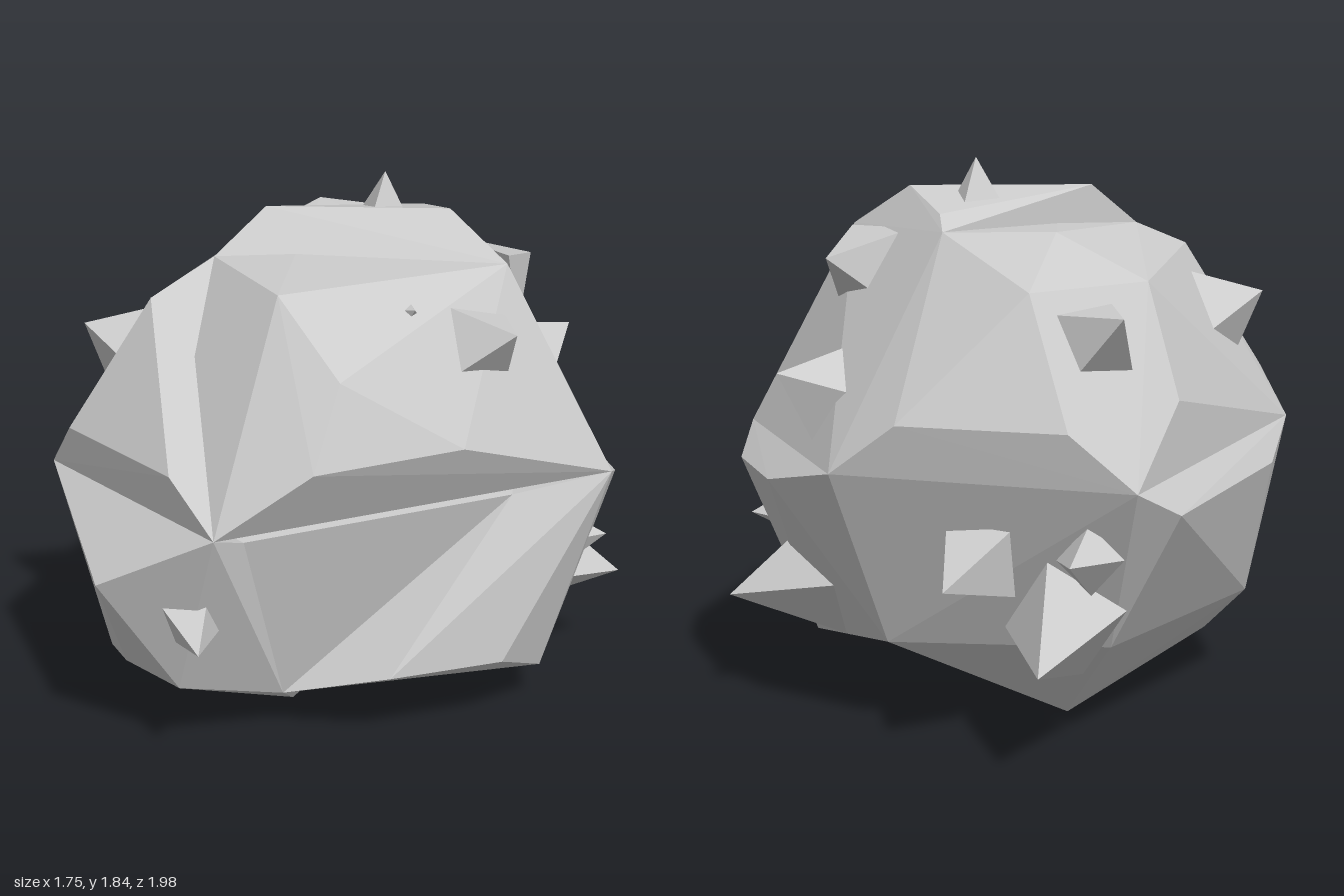
import * as THREE from 'three';
import { ConvexGeometry } from 'three/addons/geometries/ConvexGeometry.js';

const material = new THREE.MeshStandardMaterial({ color: 0xcccccc, flatShading: true });

// Corners shared by the rock's blocks
const P = {
  // crown
  crownL: [-0.36, 1.6, 0.28], crownF: [0.035, 1.6, 0.51], crownR: [0.51, 1.6, -0.145],
  ridgeL: [-0.27, 1.74, 0.1], ridgeR: [0.27, 1.74, -0.19], ridgeB: [0.05, 1.67, -0.4],
  crownB: [0, 1.62, -0.48], peakL: [-0.365, 1.63, -0.4],
  shoulderL: [-0.62, 1.47, -0.25], shoulderB: [-0.4, 1.47, -0.68],
  // upper flanks
  cheekTop: [0.3, 1.375, 0.57], cheekF: [0.3, 1.12, 0.73], cheekR: [0.6, 1.12, 0.3],
  bumpTop: [-0.45, 1.51, 0.52], bumpL: [-0.67, 1.07, 0.7], bumpR: [-0.15, 1.07, 0.87],
  sideL: [-0.79, 1.12, -0.4], backL: [-0.6, 1.07, -0.83], back: [-0.06, 1.07, -0.93],
  // rim round the middle
  rimL: [-0.8, 0.9, 0.63], rimF: [0.035, 0.9, 0.9], rimR: [0.87, 0.9, -0.25],
  rimB: [0.17, 0.9, -0.94], rimBL: [-0.8, 0.89, -0.76],
  hipL: [-0.87, 0.8, 0.28], hipBL: [-0.88, 0.8, -0.6],
  hipR: [0.79, 0.81, -0.46], hipBR: [0.52, 0.81, -0.73],
  // notch under the rim
  notchF: [0.035, 0.83, 0.73], notchR: [0.6, 0.83, -0.05],
  // lower parts
  snout: [-0.375, 0.68, 0.98], chinL: [-0.4, 0.32, 0.8], chinR: [-0.2, 0.26, 0.78],
  jaw: [-0.61, 0.235, 0.6], jawLow: [-0.56, 0.13, 0.48], notchFoot: [0.01, 0.155, 0.47],
  rampF: [0.39, 0.28, 0.4], rampR: [0.65, 0.275, 0.09], rampLow: [0.66, 0.145, -0.18],
  heel: [0.1, 0.3, -0.69], footL: [-0.74, 0.31, 0.4], footBL: [-0.62, 0.33, -0.53],
  keelF: [-0.07, 0.025, 0.28], keelB: [-0.35, 0, -0.26],
};

// Convex blocks that overlap, so the creases between them stay hollow
const BLOCKS = {
  upperRock: ['crownL', 'crownF', 'crownR', 'crownB', 'peakL', 'shoulderL', 'shoulderB',
    'cheekTop', 'cheekF', 'cheekR', 'sideL', 'backL', 'back',
    'rimL', 'rimF', 'rimR', 'rimB', 'rimBL'],
  topRidge: ['crownL', 'crownR', 'ridgeL', 'ridgeR', 'ridgeB', 'crownB'],
  frontBump: ['crownL', 'bumpTop', 'bumpL', 'bumpR', 'rimL', 'rimF'],
  bumpBacking: ['peakL', 'shoulderL', 'crownL', 'bumpTop', 'bumpL', 'rimL'],
  lowerCore: ['notchF', 'notchR', 'notchFoot', 'rimL', 'rimB', 'rimBL', 'hipL', 'hipBL',
    'hipR', 'hipBR', 'heel', 'footL', 'footBL', 'jaw', 'jawLow'],
  snoutBlock: ['rimL', 'rimF', 'notchF', 'notchFoot', 'snout', 'chinL', 'chinR', 'jaw',
    'jawLow', 'footL', 'hipL'],
  ramp: ['notchFoot', 'notchR', 'rimR', 'rampF', 'rampR', 'rampLow', 'heel', 'hipR',
    'hipBR', 'rimB'],
  keel: ['keelF', 'keelB', 'jawLow', 'jaw', 'chinR', 'notchFoot', 'heel', 'footL', 'footBL'],
};

function block(name, corners) {
  const pts = corners.map((key) => new THREE.Vector3(...P[key]));
  const mesh = new THREE.Mesh(new ConvexGeometry(pts), material);
  mesh.name = name;
  return mesh;
}

// Four-sided spike from a base centre to its tip, sunk a little into the rock
function spike([base, tip, radius, turn]) {
  const t = new THREE.Vector3(...tip);
  const axis = t.clone().sub(new THREE.Vector3(...base));
  const length = axis.length();
  const sink = 0.06;
  const geo = new THREE.ConeGeometry(radius * (1 + sink / length), length + sink, 4);
  geo.rotateY(turn);
  geo.translate(0, -(length + sink) / 2, 0);
  const mesh = new THREE.Mesh(geo, material);
  mesh.quaternion.setFromUnitVectors(new THREE.Vector3(0, 1, 0), axis.normalize());
  mesh.position.copy(t);
  mesh.name = 'spike';
  return mesh;
}

// Base centre, tip, radius, turn
const SPIKES = [
  [[0.03, 1.71, -0.17], [0.035, 1.84, -0.165], 0.08, 0],
  [[0.5, 1.38, 0.05], [0.68, 1.46, 0.11], 0.17, 0.2],
  [[0.31, 1.49, 0.19], [0.38, 1.53, 0.24], 0.06, 0.6],
  [[0.36, 1.48, -0.35], [0.41, 1.52, -0.52], 0.15, 2.1],
  [[0.34, 1.09, -0.65], [0.43, 1.18, -0.81], 0.16, 2.8],
  [[0.69, 0.6, -0.29], [0.8, 0.6, -0.385], 0.09, 0.4],
  [[0.5, 0.42, -0.44], [0.76, 0.36, -0.6], 0.19, 0.6],
  [[-0.13, 0.56, 0.8], [0, 0.51, 0.95], 0.12, 0.2],
  [[-0.6, 1.28, 0.43], [-0.75, 1.36, 0.49], 0.16, 0.5],
  [[-0.58, 1.32, -0.58], [-0.72, 1.41, -0.69], 0.14, 0.2],
  [[-0.27, 0.62, -0.82], [-0.26, 0.58, -1], 0.12, 0.7],
  [[-0.53, 0.43, -0.72], [-0.58, 0.35, -1], 0.17, 0.4],
  [[-0.64, 0.67, -0.79], [-0.66, 0.69, -0.95], 0.08, 0.2],
];

export function createModel() {
  const group = new THREE.Group();
  group.name = 'spikedBoulder';

  const rock = new THREE.Group();
  rock.name = 'boulder';
  for (const [name, corners] of Object.entries(BLOCKS)) rock.add(block(name, corners));

  const spikes = new THREE.Group();
  spikes.name = 'spikes';
  SPIKES.forEach((s) => spikes.add(spike(s)));

  group.add(rock, spikes);
  return group;
}
